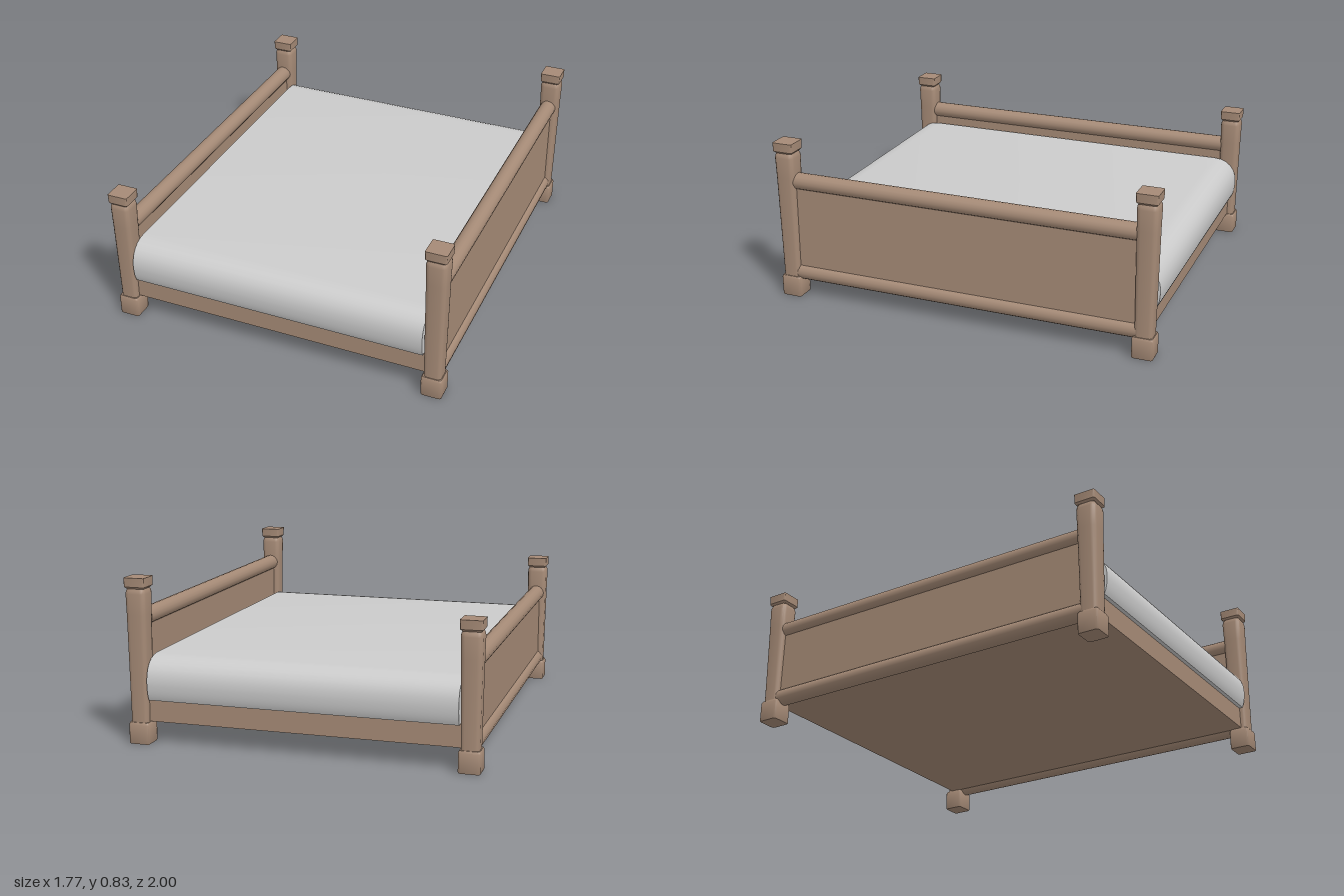
import * as THREE from 'three';
import { toCreasedNormals } from 'three/addons/utils/BufferGeometryUtils.js';

const wood = new THREE.MeshStandardMaterial({ color: 0xa58a76 });
wood.name = 'wood';
const linen = new THREE.MeshStandardMaterial({ color: 0xcbcbcb });
linen.name = 'linen';

const POST_X = 0.832, POST_Z = 0.946;

function addMesh(parent, name, geometry, material, x = 0, y = 0, z = 0) {
  const mesh = new THREE.Mesh(geometry, material);
  mesh.name = name;
  mesh.position.set(x, y, z);
  parent.add(mesh);
  return mesh;
}

// Outline of a square with rounded corners, counter-clockwise from above
function roundedSquare(half, radius) {
  const points = [];
  const steps = 3;
  for (let corner = 0; corner < 4; corner++) {
    const middle = Math.PI / 4 + corner * Math.PI / 2;
    const cx = Math.sign(Math.cos(middle)) * (half - radius);
    const cz = Math.sign(Math.sin(middle)) * (half - radius);
    for (let i = 0; i <= steps; i++) {
      const a = (corner + i / steps) * Math.PI / 2;
      points.push([cx + radius * Math.cos(a), cz + radius * Math.sin(a)]);
    }
  }
  return points;
}

// Closed solid through sections [height, half width, corner radius]
function loft(sections) {
  const positions = [], index = [];
  const n = roundedSquare(1, 0.1).length;
  for (const [y, half, radius] of sections) {
    for (const [x, z] of roundedSquare(half, radius)) positions.push(x, y, z);
  }
  for (let s = 0; s < sections.length - 1; s++) {
    for (let i = 0; i < n; i++) {
      const a = s * n + i, b = s * n + (i + 1) % n;
      index.push(a, a + n, b, b, a + n, b + n);
    }
  }
  const top = (sections.length - 1) * n;
  for (let i = 1; i < n - 1; i++) {
    index.push(0, i, i + 1);
    index.push(top, top + i + 1, top + i);
  }
  const geometry = new THREE.BufferGeometry();
  geometry.setAttribute('position', new THREE.Float32BufferAttribute(positions, 3));
  geometry.setIndex(index);
  return toCreasedNormals(geometry, 0.7);
}

// Post with a block foot, a shaft widening upwards, a neck and a cap
function createPost(height) {
  const post = new THREE.Group();
  const neck = height - 0.055;
  addMesh(post, 'postFoot', loft([
    [0, 0.052, 0.012], [0.006, 0.054, 0.012], [0.1, 0.054, 0.012], [0.11, 0.049, 0.012],
  ]), wood);
  addMesh(post, 'postShaft', loft([
    [0.108, 0.045, 0.02], [neck - 0.13, 0.051, 0.024], [neck - 0.025, 0.053, 0.024],
    [neck - 0.01, 0.05, 0.022], [neck + 0.002, 0.043, 0.018],
  ]), wood);
  addMesh(post, 'postCap', loft([
    [neck, 0.045, 0.01], [neck + 0.01, 0.054, 0.01], [height, 0.054, 0.006],
  ]), wood);
  return post;
}

function createModel() {
  const bed = new THREE.Group();
  bed.name = 'bed';

  // Tall end at +x, low end at -x
  const ends = [
    { name: 'headboard', side: 1, height: 0.835, railY: 0.628 },
    { name: 'footboard', side: -1, height: 0.725, railY: 0.518 },
  ];
  const rail = new THREE.CylinderGeometry(0.043, 0.043, 1.84, 16).rotateX(Math.PI / 2);
  for (const { name, side, height, railY } of ends) {
    const end = new THREE.Group();
    end.name = name;
    for (const z of [POST_Z, -POST_Z]) {
      const post = createPost(height);
      post.name = z > 0 ? 'frontPost' : 'backPost';
      post.position.set(side * POST_X, 0, z);
      end.add(post);
    }
    addMesh(end, 'topRail', rail, wood, side * POST_X, railY);
    addMesh(end, 'bottomRail', rail, wood, side * POST_X, 0.13);
    const panel = new THREE.BoxGeometry(0.04, railY - 0.13, 1.84);
    addMesh(end, 'panel', panel, wood, side * POST_X, (railY + 0.13) / 2);
    bed.add(end);
  }

  // Solid base under the mattress
  addMesh(bed, 'bedFrame', new THREE.BoxGeometry(1.62, 0.113, 1.92), wood, 0, 0.169);

  // Mattress with bulging ends, swept from one end to the other
  const profile = new THREE.Shape();
  profile.moveTo(-0.98, 0.225);
  profile.lineTo(0.98, 0.225);
  profile.quadraticCurveTo(0.998, 0.26, 0.998, 0.32);
  profile.bezierCurveTo(0.998, 0.39, 0.95, 0.445, 0.87, 0.445);
  profile.lineTo(-0.87, 0.445);
  profile.bezierCurveTo(-0.95, 0.445, -0.998, 0.39, -0.998, 0.32);
  profile.quadraticCurveTo(-0.998, 0.26, -0.98, 0.225);
  const mattress = new THREE.ExtrudeGeometry(profile, {
    depth: 1.56, bevelEnabled: false, curveSegments: 6,
  });
  mattress.rotateY(Math.PI / 2).translate(-0.78, 0, 0);
  addMesh(bed, 'mattress', toCreasedNormals(mattress, 0.8), linen);

  return bed;
}

export { createModel };
